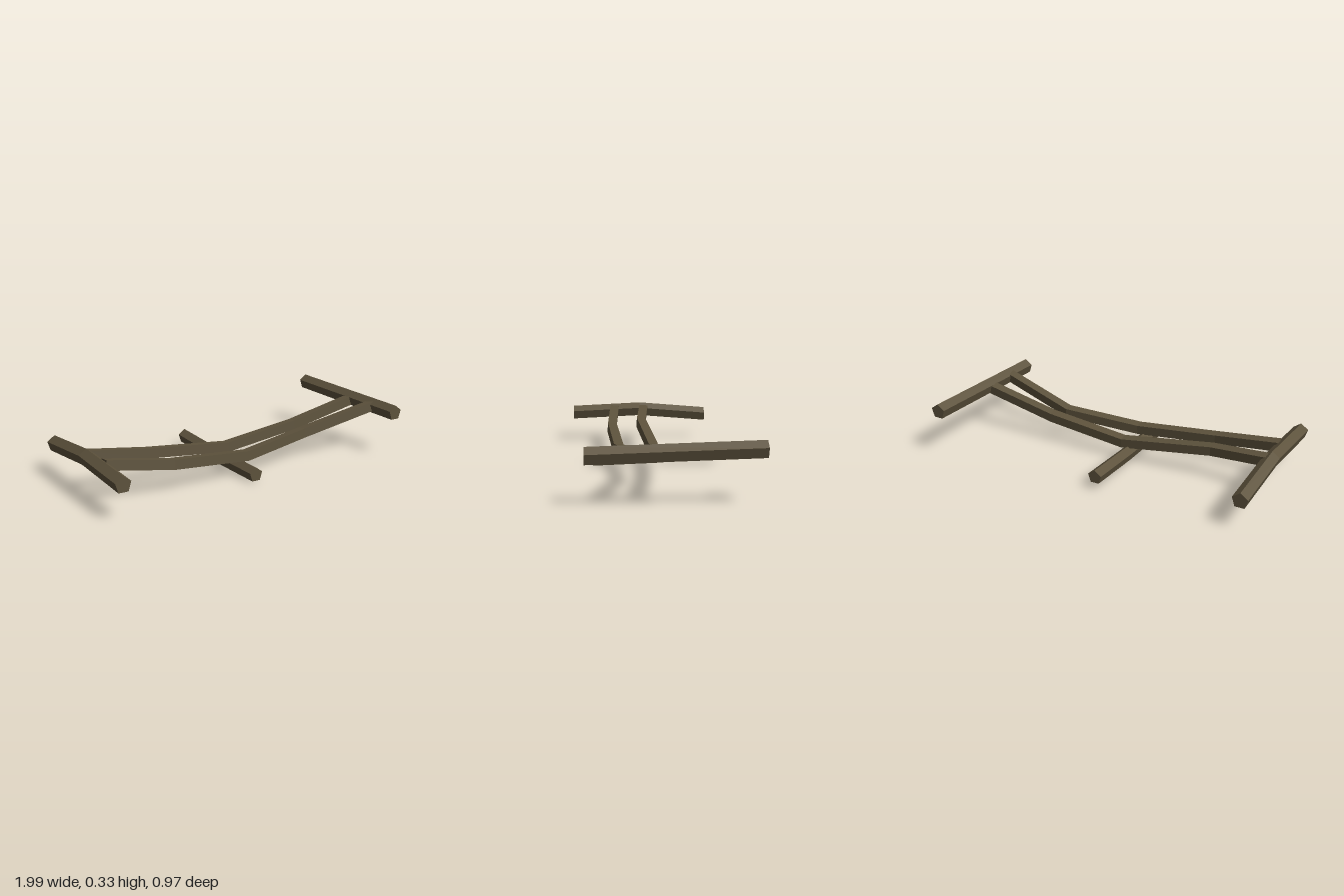
import * as THREE from 'three';

// Faceted beam: a regular polygon section swept through [x, y, z] points.
// Logs run towards +z; rails run towards -x.
function beam(name, material, path, along, sides, radius, turn) {
  const rings = path.map(([x, y, z]) => Array.from({ length: sides }, (_, j) => {
    const a = turn + (j * 2 * Math.PI) / sides;
    const u = Math.cos(a) * radius, v = Math.sin(a) * radius;
    return along === 'z' ? [x + u, y + v, z] : [x, y + v, z + u];
  }));
  const pos = [];
  const tri = (a, b, c) => pos.push(...a, ...b, ...c);
  for (let i = 0; i < rings.length - 1; i++) {
    const p = rings[i], q = rings[i + 1];
    for (let j = 0; j < sides; j++) {
      const k = (j + 1) % sides;
      tri(p[j], p[k], q[k]);
      tri(p[j], q[k], q[j]);
    }
  }
  // End caps
  const first = rings[0], last = rings[rings.length - 1];
  for (let j = 1; j < sides - 1; j++) {
    tri(first[0], first[j + 1], first[j]);
    tri(last[0], last[j], last[j + 1]);
  }
  const geometry = new THREE.BufferGeometry();
  geometry.setAttribute('position', new THREE.Float32BufferAttribute(pos, 3));
  geometry.computeVertexNormals();
  const mesh = new THREE.Mesh(geometry, material);
  mesh.name = name;
  return mesh;
}

export function createModel() {
  const group = new THREE.Group();
  group.name = 'logBridge';
  const wood = new THREE.MeshStandardMaterial({ color: 0x5d523c });
  wood.name = 'weatheredWood';
  wood.flatShading = true;

  // Five-sided cross logs, ridge upwards
  const up = Math.PI / 2;
  const logs = {
    rightCrossLog: [0.047, [[-0.932, 0.173, -0.415], [-0.94, 0.21, 0.03], [-0.955, 0.189, 0.483]]],
    middleCrossLog: [0.043, [[-0.072, 0.078, -0.41], [-0.07, 0.05, -0.03], [-0.069, 0.038, 0.363]]],
    leftCrossLog: [0.047, [[0.947, 0.282, -0.485], [0.93, 0.257, 0.413]]],
  };
  for (const [name, [radius, path]] of Object.entries(logs)) {
    group.add(beam(name, wood, path, 'z', 5, radius, up));
  }

  // Four-sided sagging rails resting on the logs
  const rails = {
    frontRail: [[0.93, 0.267, 0.213], [0.43, 0.148, 0.135], [-0.03, 0.107, 0.211], [-0.53, 0.152, 0.233], [-0.92, 0.212, 0.205]],
    backRail: [[0.93, 0.262, 0.006], [0.46, 0.165, 0], [-0.03, 0.107, 0.005], [-0.58, 0.174, 0.043], [-0.92, 0.212, 0.006]],
  };
  for (const [name, path] of Object.entries(rails)) {
    group.add(beam(name, wood, path, 'x', 4, 0.04, Math.PI / 4 + 0.08));
  }
  return group;
}
